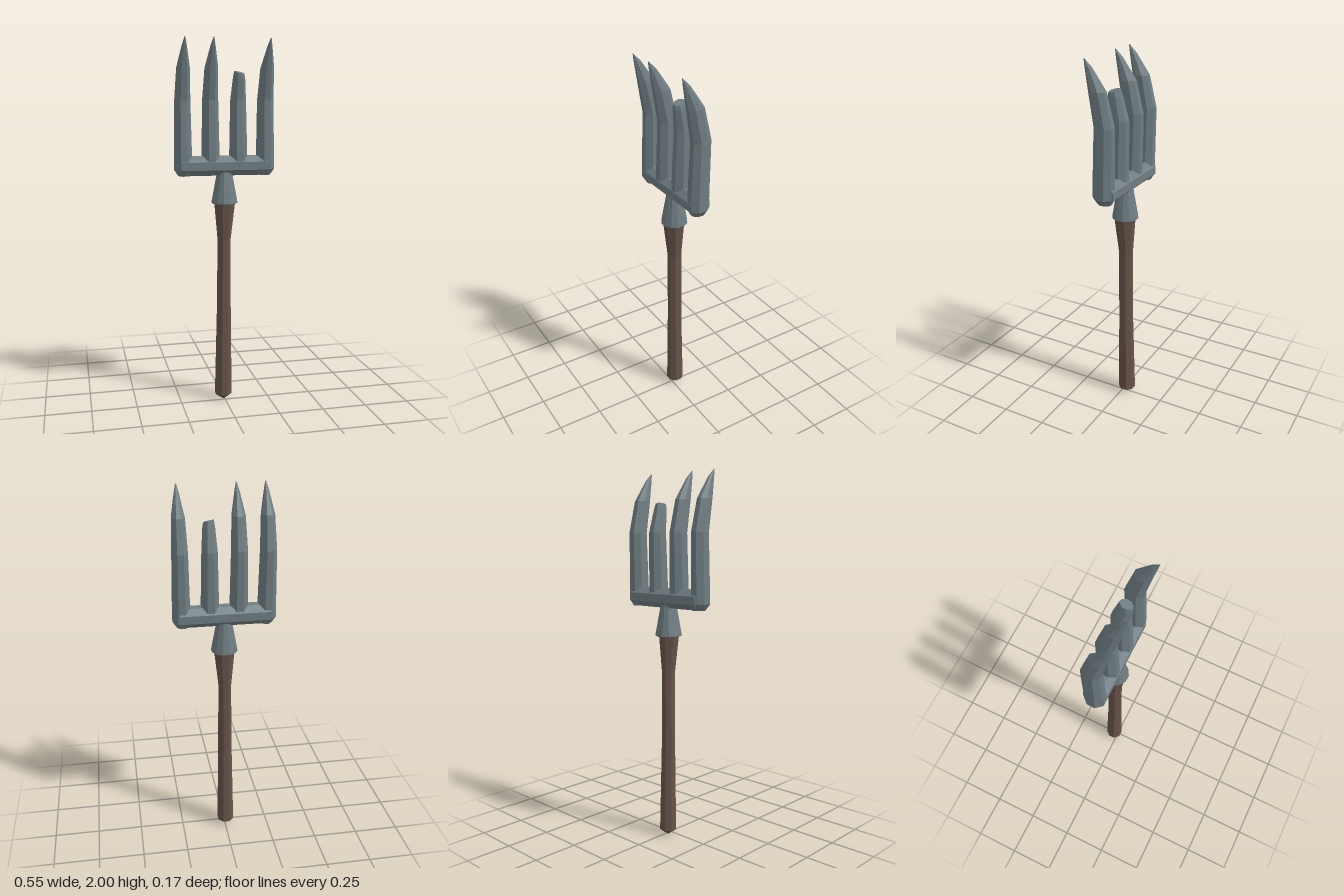
import * as THREE from 'three';

// Closed loft through horizontal rings: [y, centreX, centreZ, halfWidth, halfDepth, tiltX, tiltZ]
function loft(rings, sides = 8) {
  const pos = [], idx = [], k = 1 / Math.cos(Math.PI / sides);
  for (const [y, cx, cz, rx, rz, tx = 0, tz = 0] of rings) {
    for (let i = 0; i < sides; i++) {
      const a = ((i + 0.5) / sides) * Math.PI * 2;
      const c = Math.cos(a) * k, s = Math.sin(a) * k;
      pos.push(cx + c * rx, y + c * tx + s * tz, cz + s * rz);
    }
  }
  const last = rings.length - 1;
  for (let r = 0; r < last; r++) {
    for (let i = 0; i < sides; i++) {
      const j = (i + 1) % sides, a = r * sides, b = a + sides;
      idx.push(a + i, b + i, a + j, a + j, b + i, b + j);
    }
  }
  // End caps
  const base = rings.length * sides, top = last * sides;
  for (const r of [rings[0], rings[last]]) pos.push(r[1], r[0], r[2]);
  for (let i = 0; i < sides; i++) {
    const j = (i + 1) % sides;
    idx.push(base, i, j, base + 1, top + j, top + i);
  }
  const g = new THREE.BufferGeometry();
  g.setAttribute('position', new THREE.Float32BufferAttribute(pos, 3));
  g.setIndex(idx);
  const flat = g.toNonIndexed(); // separate corners keep the facets crisp
  flat.computeVertexNormals();
  return flat;
}

export function createModel() {
  const group = new THREE.Group();
  const metal = new THREE.MeshStandardMaterial({ color: 0x6f7d82 });
  metal.name = 'grey steel';
  const wood = new THREE.MeshStandardMaterial({ color: 0x66534a });
  wood.name = 'brown wood';
  const add = (name, geometry, material) => {
    const mesh = new THREE.Mesh(geometry, material);
    mesh.name = name;
    group.add(mesh);
    return mesh;
  };

  // Wooden handle, slightly bowed, flaring into the socket
  add('handle', loft([
    [0.0, -0.005, -0.025, 0.008, 0.008],
    [0.03, -0.005, -0.025, 0.045, 0.045],
    [0.5, -0.003, -0.02, 0.037, 0.037],
    [0.92, -0.002, -0.018, 0.033, 0.036],
    [1.13, 0, -0.012, 0.053, 0.054],
  ]), wood);

  // Conical socket with a small rim
  add('socket', loft([
    [1.125, 0, -0.015, 0.058, 0.058],
    [1.13, 0, -0.015, 0.069, 0.07],
    [1.145, 0, -0.015, 0.067, 0.068],
    [1.30, 0, -0.015, 0.039, 0.042],
  ], 12), metal);

  // Crossbar, lofted upright and turned on its side
  const bar = loft([
    [-0.24, 0, -0.0165, 0.052, 0.0575],
    [0.24, 0, -0.0165, 0.052, 0.0575],
  ]);
  bar.rotateZ(-Math.PI / 2);
  bar.translate(0, 1.334, 0);
  add('crossbar', bar, metal);

  // Curved pointed tines; the outer pair wraps the crossbar corners
  for (const x of [-0.227, -0.077, 0.227]) {
    const outer = Math.abs(x) > 0.2;
    const lean = outer ? -Math.sign(x) * 0.006 : 0;
    add('tine', loft([
      [outer ? 1.281 : 1.3, x + lean, -0.016, 0.03, 0.036],
      [outer ? 1.315 : 1.33, x, -0.014, outer ? 0.047 : 0.044, 0.053],
      [1.4, x, -0.014, 0.045, 0.053],
      [1.68, x, -0.021, 0.04, 0.05],
      [1.85, x, 0.014, 0.033, 0.044],
      [1.96, x, 0.062, 0.012, 0.018],
      [2.0, x, 0.085, 0.002, 0.002],
    ]), metal);
  }

  // Snapped tine with a slanted end
  add('brokenTine', loft([
    [1.3, 0.076, -0.016, 0.03, 0.036],
    [1.33, 0.076, -0.014, 0.044, 0.053],
    [1.4, 0.076, -0.014, 0.045, 0.053],
    [1.68, 0.076, -0.021, 0.039, 0.048],
    [1.8, 0.076, 0.0, 0.03, 0.036],
    [1.828, 0.076, 0.005, 0.025, 0.03, -0.005, -0.007],
  ]), metal);

  return group;
}
